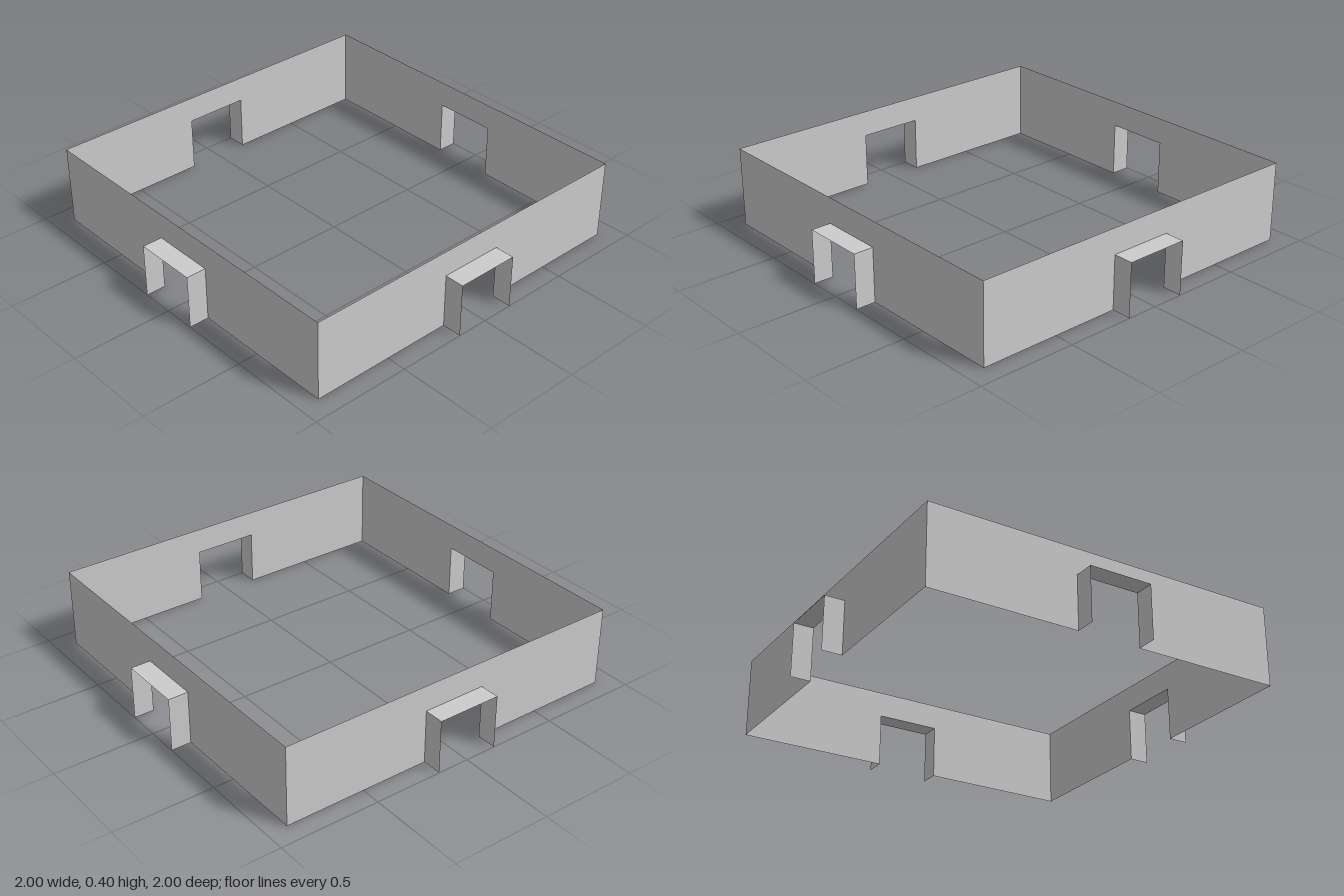
import * as THREE from 'three';

const WALL = 0.9;      // distance of each wall from the centre
const HEIGHT = 0.4;
const DOOR = 0.16;     // half width of a doorway
const DOOR_TOP = 0.27;
const DEPTH = 0.1;     // how far a doorway lining stands out

const material = new THREE.MeshStandardMaterial({
  color: 0xcccccc, side: THREE.DoubleSide, flatShading: true,
});

function part(name, geometry, x, y, z) {
  const mesh = new THREE.Mesh(geometry, material);
  mesh.name = name;
  mesh.position.set(x, y, z);
  return mesh;
}

// One side of the enclosure, facing +z
function createSide(name) {
  const side = new THREE.Group();
  side.name = name;

  // Thin wall with a doorway cut up from the ground
  const outline = [
    [-WALL, 0], [-DOOR, 0], [-DOOR, DOOR_TOP], [DOOR, DOOR_TOP],
    [DOOR, 0], [WALL, 0], [WALL, HEIGHT], [-WALL, HEIGHT],
  ].map(([x, y]) => new THREE.Vector2(x, y));
  side.add(part('wall', new THREE.ShapeGeometry(new THREE.Shape(outline)), 0, 0, WALL));

  // Doorway lining: two jambs and a lintel
  const z = WALL + DEPTH / 2;
  for (const [label, s] of [['leftJamb', 1], ['rightJamb', -1]]) {
    const jamb = new THREE.PlaneGeometry(DEPTH, DOOR_TOP).rotateY(s * Math.PI / 2);
    side.add(part(label, jamb, s * DOOR, DOOR_TOP / 2, z));
  }
  const lintel = new THREE.PlaneGeometry(DOOR * 2, DEPTH).rotateX(-Math.PI / 2);
  side.add(part('lintel', lintel, 0, DOOR_TOP, z));
  return side;
}

export function createModel() {
  const model = new THREE.Group();
  model.name = 'walledEnclosure';
  // The same side repeated around the square
  ['frontSide', 'leftSide', 'backSide', 'rightSide'].forEach((name, i) => {
    const side = createSide(name);
    side.rotation.y = i * Math.PI / 2;
    model.add(side);
  });
  return model;
}
